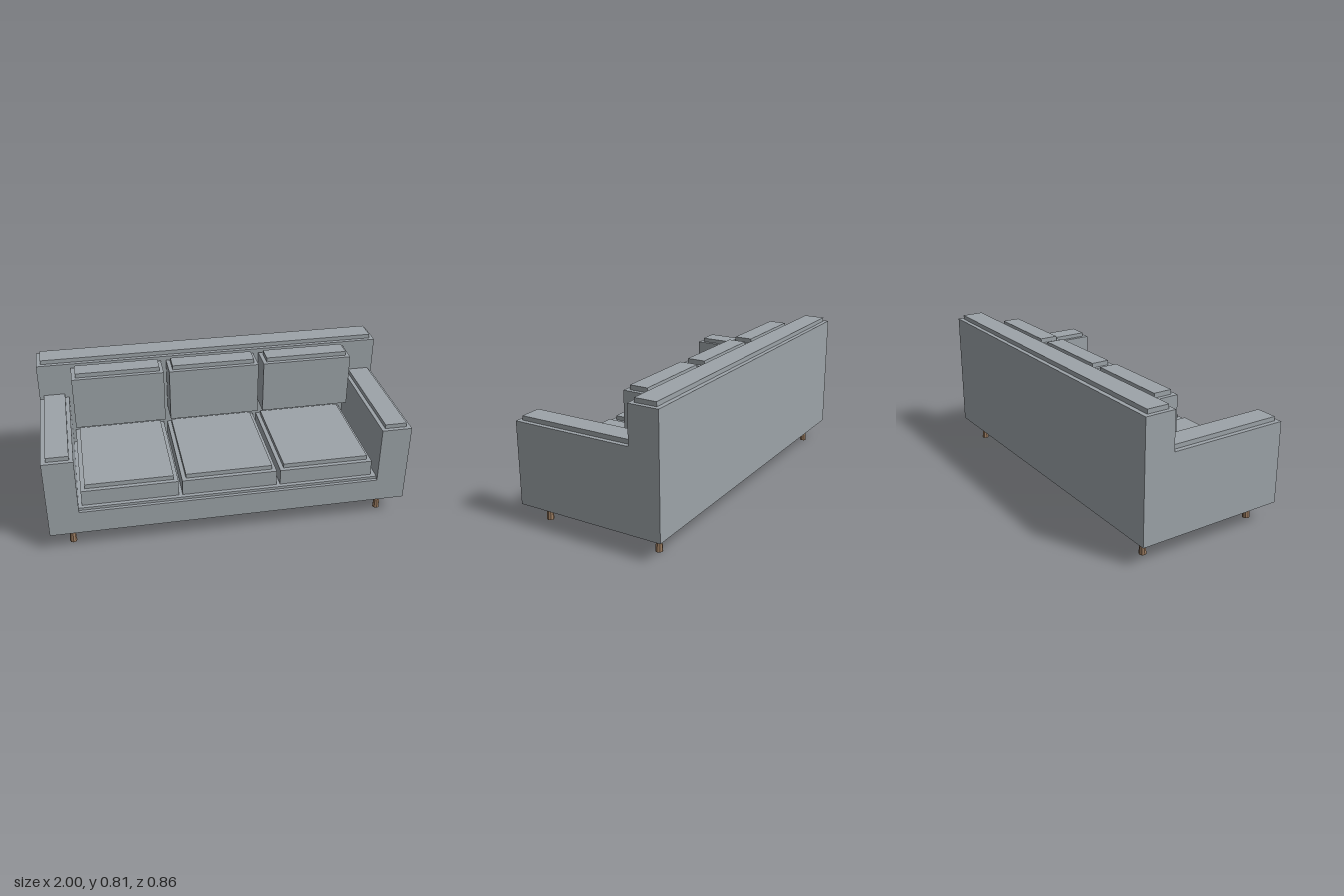
import * as THREE from 'three';

export function createModel() {
  const sofa = new THREE.Group();
  sofa.name = 'sofa';

  const fabric = new THREE.MeshStandardMaterial({ color: 0x9ca3a8 });
  fabric.name = 'grey fabric';
  const wood = new THREE.MeshStandardMaterial({ color: 0x9a7b60 });
  wood.name = 'wood';
  wood.flatShading = true;

  const add = (name, geometry, material, parent = sofa) => {
    const mesh = new THREE.Mesh(geometry, material);
    mesh.name = name;
    parent.add(mesh);
    return mesh;
  };

  // Box given by its limits on each axis
  const block = (name, [x0, x1], [y0, y1], [z0, z1], parent) => {
    const mesh = add(name, new THREE.BoxGeometry(x1 - x0, y1 - y0, z1 - z0), fabric, parent);
    mesh.position.set((x0 + x1) / 2, (y0 + y1) / 2, (z0 + z1) / 2);
    return mesh;
  };

  const bottom = 0.115, front = 0.428, rear = -0.428, backFront = -0.257;
  const armTop = 0.575, backTop = 0.788, inner = 0.833;

  // L-shaped side panels: arm plus the end of the backrest (shape x runs along -z)
  const profile = new THREE.Shape([
    [-front, bottom], [-rear, bottom], [-rear, backTop],
    [-backFront, backTop], [-backFront, armTop], [-front, armTop],
  ].map(([x, y]) => new THREE.Vector2(x, y)));
  const sideGeometry = new THREE.ExtrudeGeometry(profile, { depth: 1 - inner, bevelEnabled: false });
  sideGeometry.rotateY(Math.PI / 2);

  for (const side of [-1, 1]) {
    const label = side > 0 ? 'left' : 'right';
    add(`${label}Arm`, sideGeometry, fabric).position.x = side > 0 ? inner : -1;
    const mid = side * 0.915;
    block(`${label}ArmPad`, [mid - 0.06, mid + 0.06], [armTop, 0.599], [backFront, 0.405]);
  }

  // Base, deck and backrest between the side panels
  block('base', [-inner, inner], [bottom, 0.25], [backFront, front]);
  block('seatDeck', [-inner, inner], [0.25, 0.265], [backFront, 0.41]);
  block('backrest', [-inner, inner], [bottom, backTop], [rear, backFront]);
  block('backrestPad', [-0.976, 0.976], [backTop, 0.812], [-0.403, -0.28]);

  // Three seat cushions and three back cushions, each with a raised top pad
  for (let i = -1; i <= 1; i++) {
    const x = i * 0.547 - 0.004;
    const span = (half) => [x - half, x + half];
    const seat = new THREE.Group();
    seat.name = 'seatCushion';
    block('seatCushionBody', span(0.263), [0.265, 0.355], [-0.25, 0.387], seat);
    block('seatCushionPad', span(0.24), [0.355, 0.38], [-0.225, 0.363], seat);
    const back = new THREE.Group();
    back.name = 'backCushion';
    block('backCushionBody', span(0.258), [0.46, 0.768], [-0.246, -0.097], back);
    block('backCushionPad', span(0.236), [0.768, 0.793], [-0.222, -0.121], back);
    sofa.add(seat, back);
  }

  // Eight-sided legs, flared towards the floor
  const legGeometry = new THREE.CylinderGeometry(0.0125, 0.02, bottom, 8);
  for (const x of [-0.88, 0.88]) {
    for (const z of [-0.343, 0.343]) {
      add(z > 0 ? 'frontLeg' : 'rearLeg', legGeometry, wood).position.set(x, bottom / 2, z);
    }
  }

  return sofa;
}
